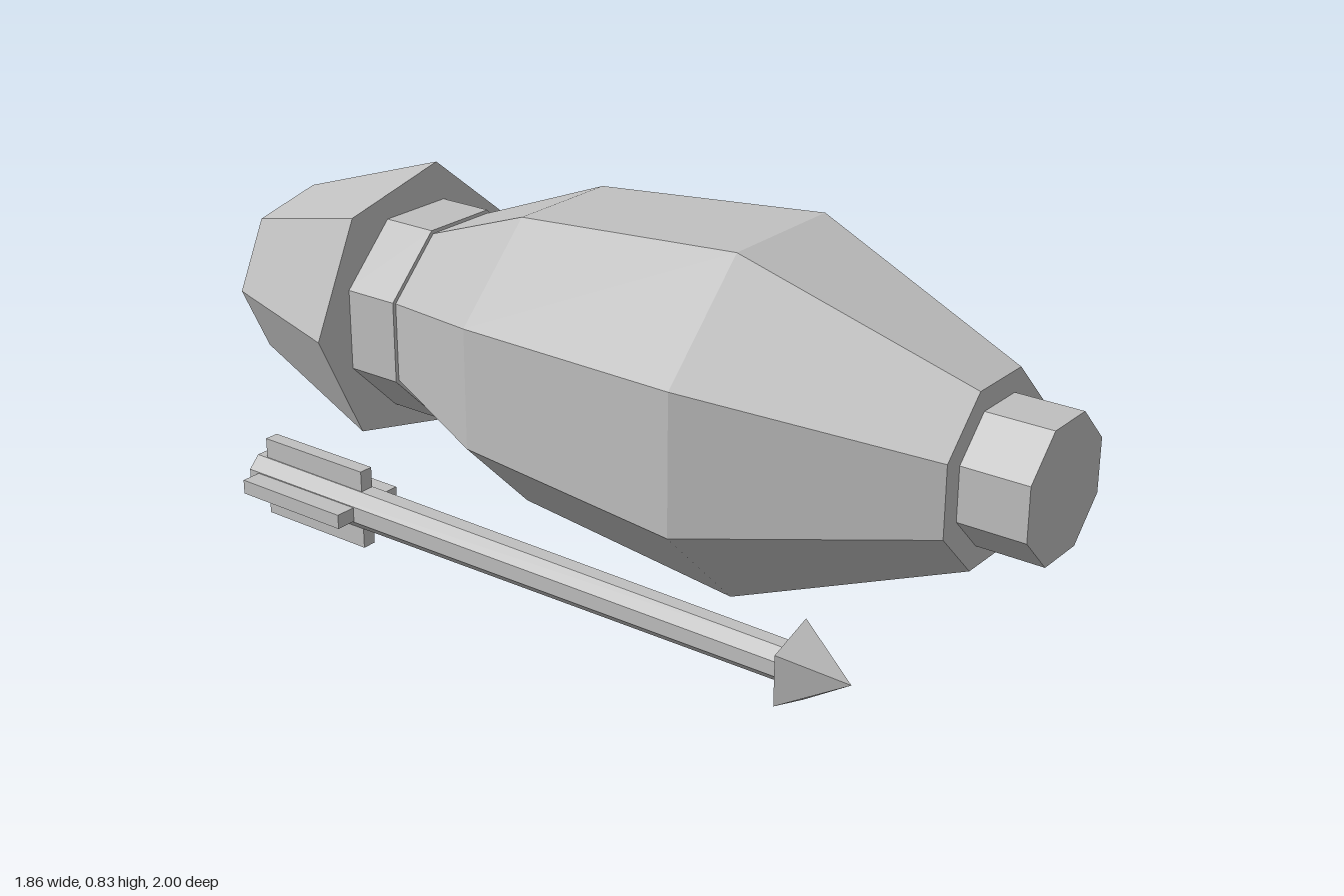
import * as THREE from 'three';

export function createModel() {
  const model = new THREE.Group();
  const grey = new THREE.MeshStandardMaterial({ color: 0xbfbfbf, flatShading: true });
  grey.name = 'grey';

  // Both objects lie along the diagonal: local y runs to the front left, local z points down
  const h = Math.SQRT1_2;
  const turn = new THREE.Matrix4().makeBasis(
    new THREE.Vector3(h, 0, -h), new THREE.Vector3(h, 0, h), new THREE.Vector3(0, -1, 0));

  function diagonalGroup(name, side, height) {
    const group = new THREE.Group();
    group.name = name;
    group.applyMatrix4(turn);
    group.position.set(side * h, height, -side * h);
    model.add(group);
    return group;
  }

  function add(group, name, geometry) {
    const mesh = new THREE.Mesh(geometry, grey);
    mesh.name = name;
    group.add(mesh);
    return mesh;
  }

  // Closed faceted solid from [corner radius, position along axis] rings
  function faceted(rings, sides, start) {
    const first = rings[0], last = rings[rings.length - 1];
    const points = [[0, first[1]], ...rings, [0, last[1]]].map(([r, y]) => new THREE.Vector2(r, y));
    return new THREE.LatheGeometry(points, sides, start);
  }

  // Eight-sided solid with flats on top and sides; radii measured to the flats
  function octagonal(rings) {
    const k = 1 / Math.cos(Math.PI / 8);
    return faceted(rings.map(([a, y]) => [a * k, y]), 8, Math.PI / 8);
  }

  // Barrel-shaped vessel with collar, flared stopper and small end plug
  const vessel = diagonalGroup('vessel', 0.062, 0.419);
  add(vessel, 'body', octagonal([[0.241, -0.588], [0.364, -0.258], [0.417, 0.368], [0.209, 0.93]]));
  add(vessel, 'endPlug', octagonal([[0.157, 0.92], [0.157, 1.096]]));
  add(vessel, 'collar', octagonal([[0.249, -0.745], [0.249, -0.59]]));
  add(vessel, 'stopper', faceted([[0.224, -1.153], [0.362, -0.737]], 7, 1.5 * Math.PI));

  // Dart with a pointed head and crossed fins
  const dart = diagonalGroup('dart', -0.48, 0.138);
  add(dart, 'shaft', octagonal([[0.049, -0.758], [0.041, 0.8]]));
  add(dart, 'head', faceted([[0.1, 0.793], [0, 0.926]], 5, Math.PI / 2));
  add(dart, 'flatFin', new THREE.BoxGeometry(0.196, 0.314, 0.035)).position.y = -0.572;
  add(dart, 'uprightFin', new THREE.BoxGeometry(0.035, 0.314, 0.196)).position.y = -0.572;

  return model;
}
